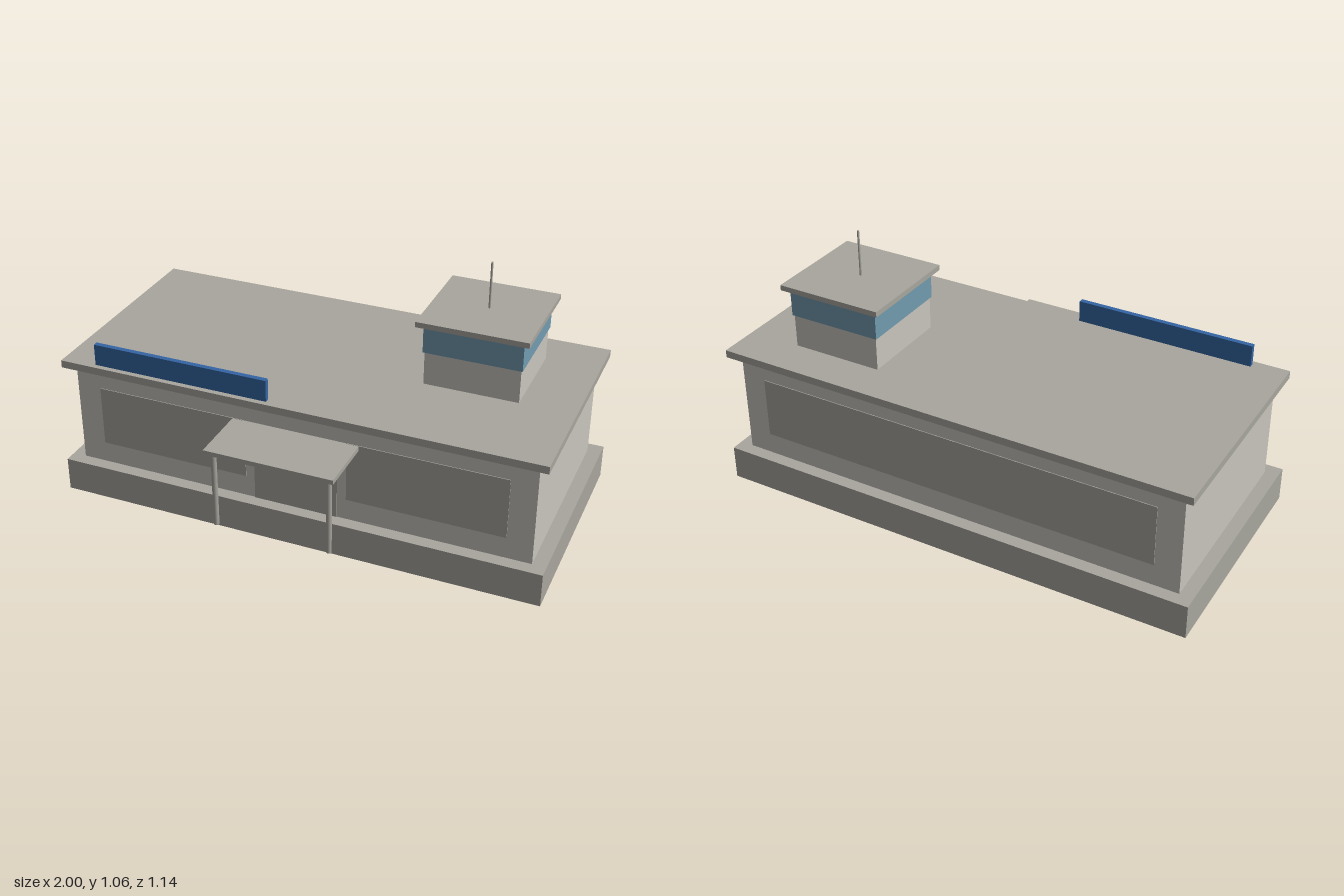
import * as THREE from 'three';

const material = (name, color, side = THREE.FrontSide) => {
  const m = new THREE.MeshStandardMaterial({ color, side });
  m.name = name;
  return m;
};

export function createModel() {
  const model = new THREE.Group();
  model.name = 'terminalBuilding';

  const wall = material('pale wall', 0xc9c5bd);
  const concrete = material('grey concrete', 0xa8a69e, THREE.DoubleSide);
  const glass = material('blue glass', 0x729bb0);
  const blue = material('sign blue', 0x3465a4);

  const add = (name, geometry, mat, x, y, z) => {
    const mesh = new THREE.Mesh(geometry, mat);
    mesh.name = name;
    mesh.position.set(x, y, z);
    model.add(mesh);
    return mesh;
  };

  // Box given by its extents on each axis
  const box = (name, mat, [x0, x1], [y0, y1], [z0, z1]) =>
    add(name, new THREE.BoxGeometry(x1 - x0, y1 - y0, z1 - z0), mat,
      (x0 + x1) / 2, (y0 + y1) / 2, (z0 + z1) / 2);

  // Plinth, a hollow shell open at the bottom
  const plinth = box('plinth', concrete, [-1, 1], [0, 0.14], [-0.572, 0.375]).geometry;
  const index = Array.from(plinth.index.array);
  index.splice(18, 6); // bottom face
  plinth.setIndex(index);
  plinth.clearGroups();

  // Main hall and its overhanging roof
  box('hallWalls', wall, [-0.945, 0.945], [0.14, 0.567], [-0.52, 0.323]);
  box('hallRoof', concrete, [-0.987, 0.987], [0.567, 0.598], [-0.562, 0.365]);

  // Window bands and door as thin plates
  const sill = [0.23, 0.482], front = [0.321, 0.326];
  box('frontWindowRight', concrete, [-0.843, -0.21], sill, front);
  box('frontWindowLeft', concrete, [0.21, 0.843], sill, front);
  box('backWindow', concrete, [-0.843, 0.843], sill, [-0.523, -0.518]);
  box('door', concrete, [-0.173, 0.173], [0.14, 0.442], front);

  // Entrance canopy on two posts
  box('canopy', concrete, [-0.26, 0.26], [0.462, 0.481], [0.323, 0.573]);
  for (const side of [-1, 1]) {
    add(side < 0 ? 'canopyPostRight' : 'canopyPostLeft',
      new THREE.CylinderGeometry(0.0115, 0.0115, 0.322, 8), concrete,
      side * 0.232, 0.301, 0.543);
  }

  // Sign board along the roof edge
  box('signBoard', blue, [-0.843, -0.108], [0.598, 0.687], [0.322, 0.343]);

  // Control tower with a glazed band, flat roof and mast
  box('towerWalls', wall, [0.388, 0.766], [0.598, 0.849], [-0.394, -0.016]);
  box('towerGlass', glass, [0.382, 0.772], [0.735, 0.841], [-0.4, -0.01]);
  box('towerRoof', concrete, [0.357, 0.797], [0.849, 0.871], [-0.425, 0.015]);
  add('mast', new THREE.CylinderGeometry(0.0045, 0.0045, 0.19, 8), concrete,
    0.577, 0.966, -0.205);

  return model;
}
